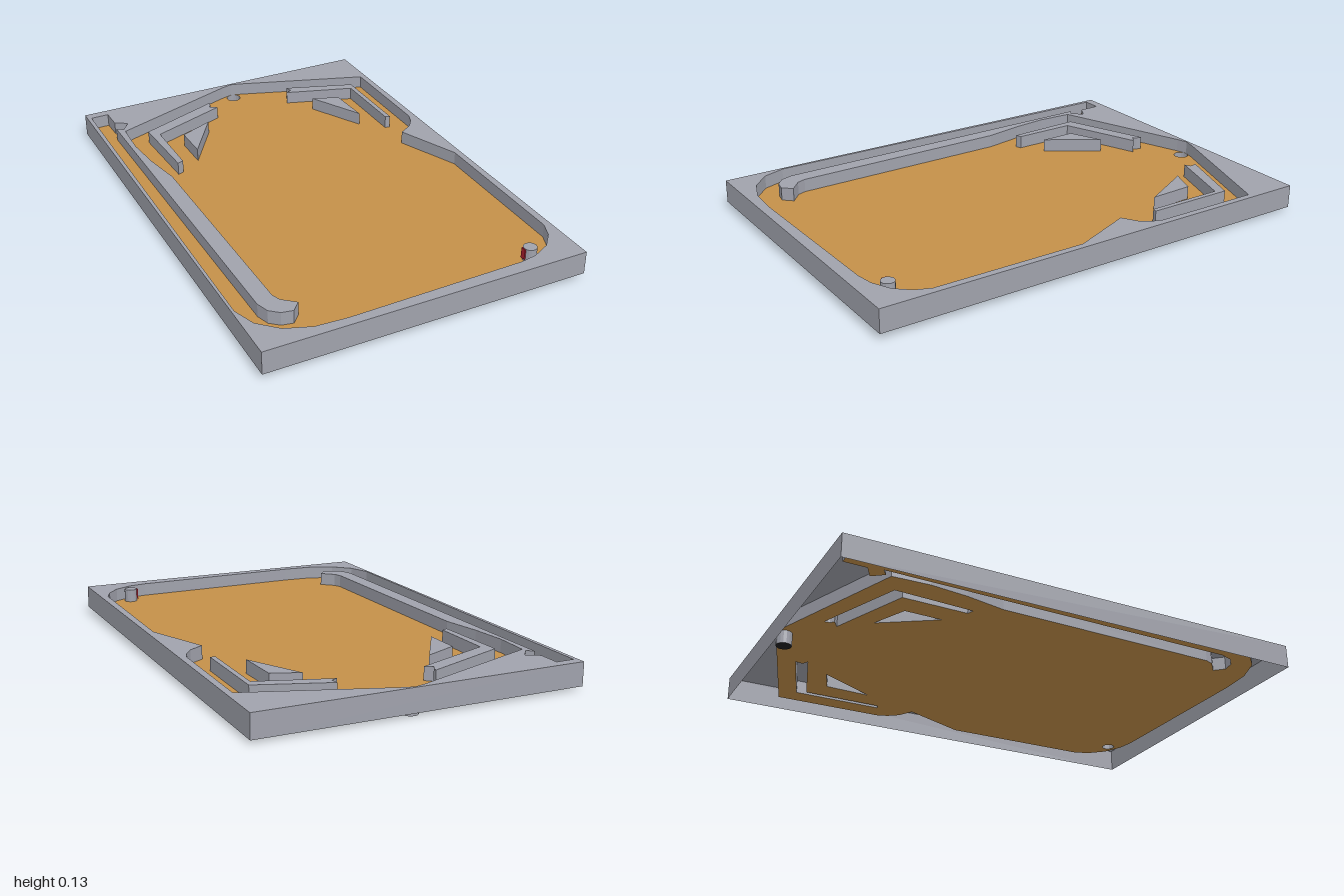
import * as THREE from 'three';

const TOP = 0.118, FLOOR = 0.062, BOTTOM = 0.02;

// Outer rim corners, [x, z]
const rim = [[-0.67, -1], [0.7, -0.98], [0.665, 1], [-0.7, 0.97]];

// Playfield outline: shooter lane, lane divider, peaked back, side bump, rounded front
const field = [
  [-0.653, -0.958], [-0.574, -0.958], [-0.574, -0.862], [-0.521, -0.831], [-0.558, -0.783], [-0.587, -0.804],
  [-0.595, 0.714], [-0.579, 0.767], [-0.542, 0.8], [-0.495, 0.81], [-0.458, 0.772], [-0.51, 0.725], [-0.523, 0.688],
  [-0.523, -0.28], [-0.553, -0.45], [-0.567, -0.608], [-0.558, -0.762],
  [0.013, -0.968], [0.061, -0.981], [0.108, -0.968], [0.669, -0.762],
  [0.659, -0.291], [0.643, -0.249], [0.611, -0.206], [0.548, -0.169], [0.653, 0.106],
  [0.638, 0.767], [0.611, 0.831], [0.558, 0.889], [0.479, 0.926], [0.405, 0.937],
  [-0.341, 0.937], [-0.474, 0.926], [-0.579, 0.884], [-0.653, 0.81], [-0.685, 0.714],
];

// Raised islands
const islands = {
  leftGuide: [[-0.108, -0.847], [-0.468, -0.709], [-0.458, -0.376], [-0.431, -0.386], [-0.43, -0.661],
    [-0.092, -0.788], [-0.124, -0.81], [-0.112, -0.825]],
  rightGuide: [[0.288, -0.82], [0.585, -0.709], [0.579, -0.328], [0.558, -0.333], [0.563, -0.672],
    [0.267, -0.775], [0.294, -0.788]],
  leftBumper: [[-0.188, -0.672], [-0.336, -0.608], [-0.336, -0.45]],
  rightBumper: [[0.347, -0.661], [0.463, -0.614], [0.468, -0.418]],
  drainPost: circle(0.497, 0.868, 0.028),
};
const cup = circle(0.062, -0.948, 0.032);

function circle(x, z, r, n = 16) {
  return Array.from({ length: n }, (_, i) => {
    const a = (i / n) * Math.PI * 2;
    return [x + r * Math.cos(a), z + r * Math.sin(a)];
  });
}

const toVectors = (pts) => pts.map(([x, z]) => new THREE.Vector2(x, -z));

// Horizontal sheet with holes at height y
function sheet(pts, holes, y) {
  const shape = new THREE.Shape(toVectors(pts));
  shape.holes = holes.map((h) => new THREE.Path(toVectors(h)));
  return new THREE.ShapeGeometry(shape).rotateX(-Math.PI / 2).translate(0, y, 0);
}

// Vertical wall following a closed outline; clockwise from above faces inward unless flipped
function wall(pts, y0, y1, outward) {
  let area = 0;
  pts.forEach(([x, z], i) => {
    const [u, w] = pts[(i + 1) % pts.length];
    area += x * w - u * z;
  });
  const loop = (area > 0) === outward ? [...pts].reverse() : pts;
  const p = [];
  loop.forEach(([x, z], i) => {
    const [u, w] = loop[(i + 1) % loop.length];
    p.push(x, y0, z, u, y0, w, u, y1, w, x, y0, z, u, y1, w, x, y1, z);
  });
  const g = new THREE.BufferGeometry();
  g.setAttribute('position', new THREE.Float32BufferAttribute(p, 3));
  g.computeVertexNormals();
  return g;
}

export function createModel() {
  const group = new THREE.Group();
  const material = (name, color) =>
    new THREE.MeshStandardMaterial({ name, color, side: THREE.DoubleSide });
  const grey = material('grey', 0xa0a2ac);
  const orange = material('orange', 0xc49049);
  const red = material('red', 0xb02030);
  const dark = material('dark', 0x202022);
  const add = (name, geometry, mat, parent = group) => {
    const mesh = new THREE.Mesh(geometry, mat);
    mesh.name = name;
    parent.add(mesh);
    return mesh;
  };

  // Hollow frame, open underneath
  add('frameTop', sheet(rim, [field], TOP), grey);
  add('frameOuterWall', wall(rim, BOTTOM, TOP, true), grey);
  add('frameInnerWall', wall(field, FLOOR, TOP, false), grey);

  // Playfield floor, cut out under each island and at the cup
  add('playfield', sheet(field, [...Object.values(islands), cup], FLOOR), orange);

  // Guides, bumpers and post
  for (const [name, pts] of Object.entries(islands)) {
    const part = new THREE.Group();
    part.name = name;
    add(name + 'Top', sheet(pts, [], TOP), grey, part);
    add(name + 'Wall', wall(pts, FLOOR, TOP, true), grey, part);
    group.add(part);
  }

  // Red mark on the post
  add('postMark', new THREE.BoxGeometry(0.009, 0.045, 0.022), red).position.set(0.47, 0.094, 0.866);

  // Cup sunk below the floor at the back
  add('cupWall', wall(cup, 0.007, FLOOR, true), grey);
  add('cupBottom', sheet(cup, [], 0.007), dark);

  // Slight lean: the front edge sits a little higher
  group.rotation.x = -0.0075;
  return group;
}
